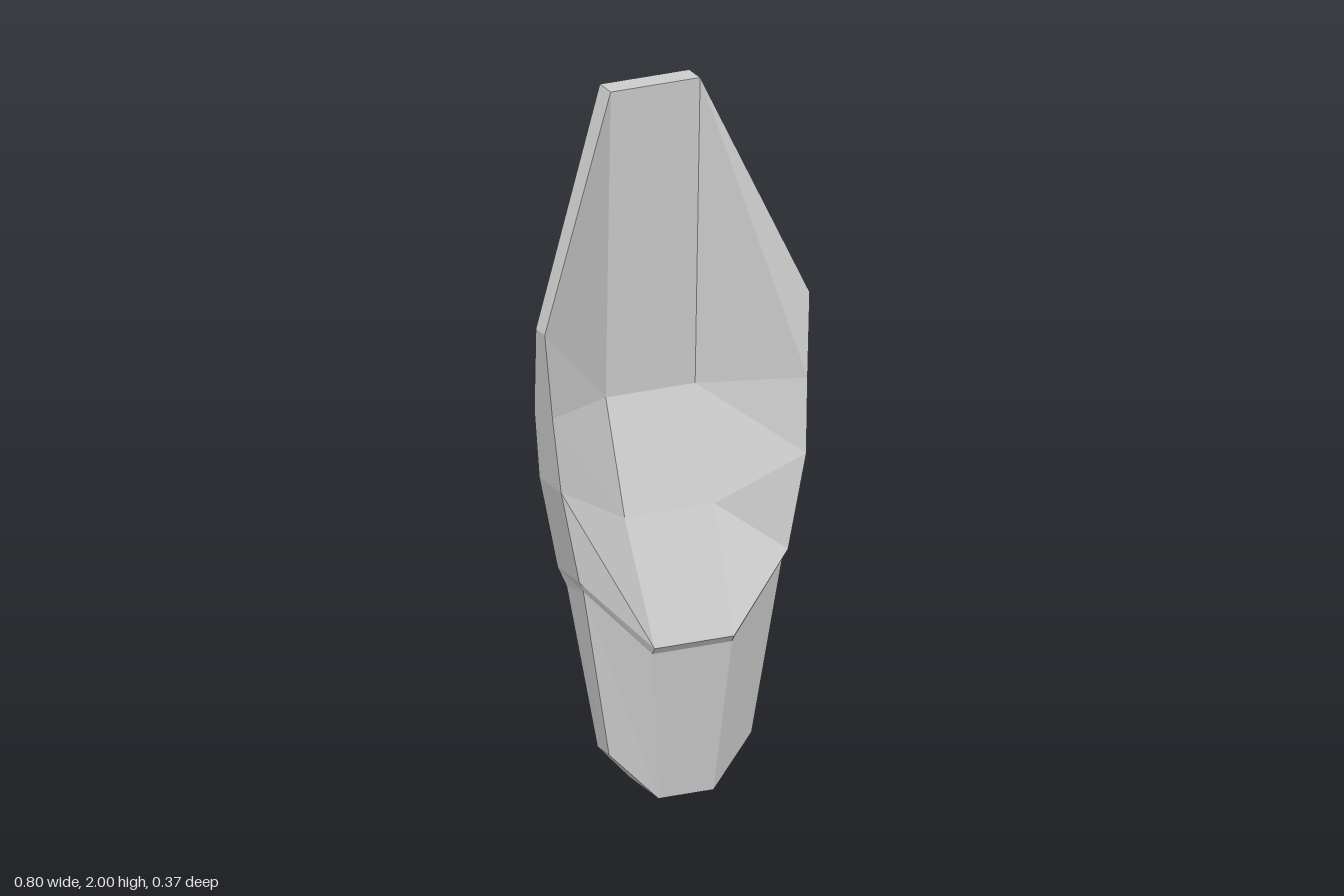
import * as THREE from 'three';

// One mirrored eight-point ring. Each corner is [x, y, z]:
// front outer, front inner, back inner, back outer (given for +x).
function ring(frontOuter, frontInner, backInner, backOuter) {
  const mirror = ([x, y, z]) => [-x, y, z];
  return [
    mirror(frontOuter), mirror(frontInner), frontInner, frontOuter,
    backOuter, backInner, mirror(backInner), mirror(backOuter),
  ];
}

// Skins a stack of rings from top to bottom, with optional end caps.
function loft(rings, capTop, capBottom) {
  const positions = [];
  const quad = (a, b, c, d) => positions.push(...a, ...b, ...c, ...a, ...c, ...d);
  for (let i = 0; i < rings.length - 1; i++) {
    for (let j = 0; j < 8; j++) {
      const n = (j + 1) % 8;
      quad(rings[i][j], rings[i + 1][j], rings[i + 1][n], rings[i][n]);
    }
  }
  const top = rings[0];
  const bottom = rings[rings.length - 1];
  for (let k = 0; k < 3; k++) {
    if (capTop) quad(top[k], top[k + 1], top[6 - k], top[7 - k]);
    if (capBottom) quad(bottom[k], bottom[7 - k], bottom[6 - k], bottom[k + 1]);
  }
  const geometry = new THREE.BufferGeometry();
  geometry.setAttribute('position', new THREE.Float32BufferAttribute(positions, 3));
  geometry.computeVertexNormals();
  return geometry;
}

export function createModel() {
  const group = new THREE.Group();
  group.name = 'curvedPlate';
  const material = new THREE.MeshStandardMaterial({ color: 0xcccccc, flatShading: true });

  // Inset ring under the lip, shared by both parts
  const neck = ring([0.3, 0.63, 0.107], [0.12, 0.44, 0.168], [0.125, 0.4, -0.093], [0.3, 0.61, 0]);

  // Upper plate: hollow in front, swelling forward into a lip
  const plate = new THREE.Mesh(loft([
    ring([0.4, 1.38, 0.072], [0.135, 2, -0.068], [0.135, 2, -0.138], [0.4, 1.38, 0.015]),
    ring([0.385, 1.14, 0.09], [0.135, 1.1, -0.1], [0.135, 1.1, -0.183], [0.385, 1.13, -0.027]),
    ring([0.37, 0.93, 0.114], [0.135, 0.79, 0.022], [0.135, 0.86, -0.183], [0.37, 0.93, -0.027]),
    ring([0.315, 0.66, 0.114], [0.12, 0.46, 0.182], [0.125, 0.46, -0.125], [0.315, 0.66, -0.027]),
    neck,
  ], true, false), material);
  plate.name = 'upperPlate';

  // Lower section tapering to the foot
  const foot = new THREE.Mesh(loft([
    neck,
    ring([0.215, 0.135, 0.092], [0.083, 0, 0.128], [0.083, 0, -0.06], [0.215, 0.135, 0.017]),
  ], false, true), material);
  foot.name = 'lowerSection';

  group.add(plate, foot);
  return group;
}
